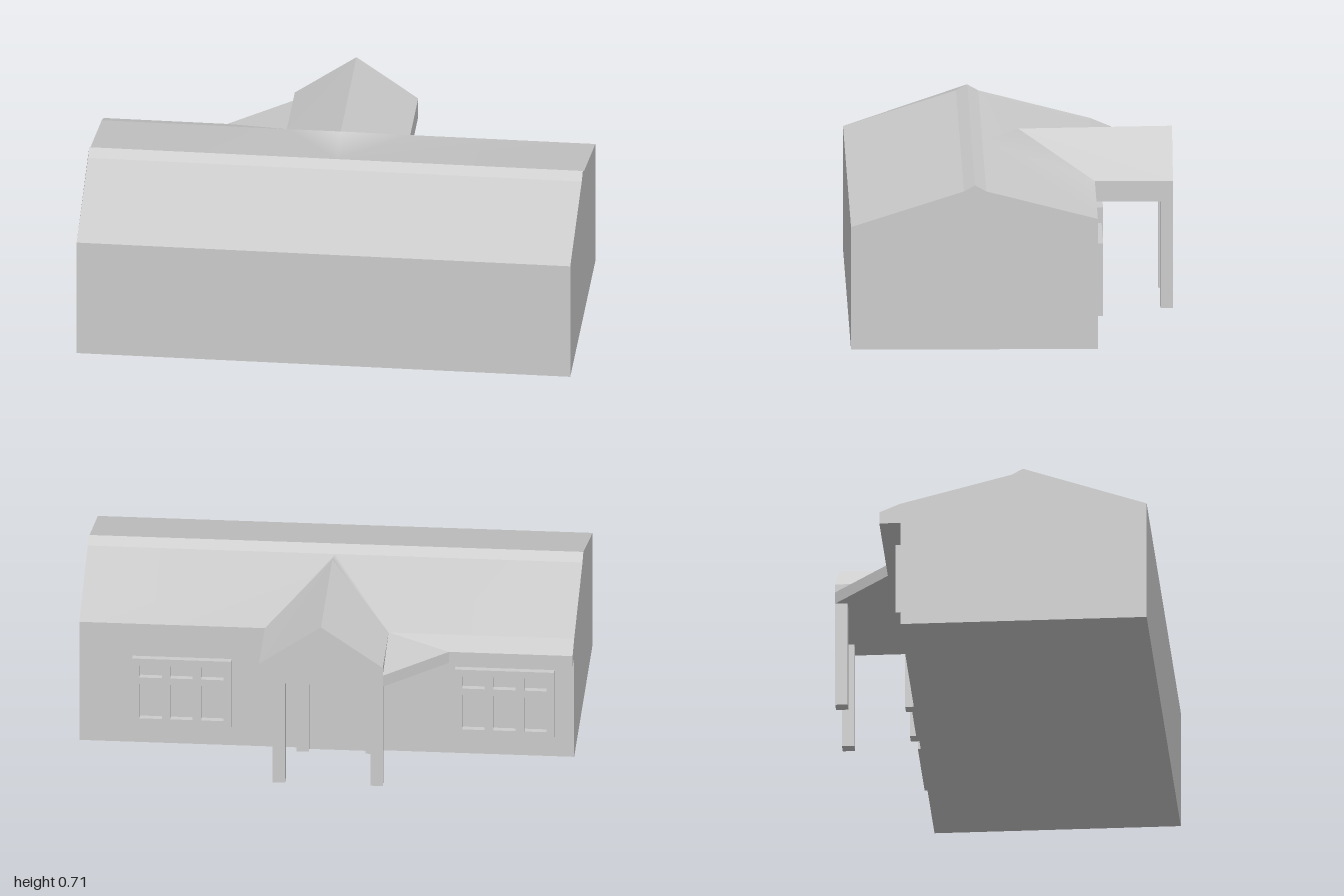
import * as THREE from 'three';
import { mergeVertices } from 'three/addons/utils/BufferGeometryUtils.js';

const grey = new THREE.MeshStandardMaterial({ color: 0xcccccc, side: THREE.DoubleSide });

// Flat polygons, each fanned from its first corner
function polygons(name, polys, smooth = false) {
  const pos = [];
  for (const p of polys)
    for (let i = 1; i < p.length - 1; i++) pos.push(...p[0], ...p[i], ...p[i + 1]);
  let geo = new THREE.BufferGeometry();
  geo.setAttribute('position', new THREE.Float32BufferAttribute(pos, 3));
  if (smooth) geo = mergeVertices(geo);
  geo.computeVertexNormals();
  return named(name, geo);
}

function named(name, geo) {
  const mesh = new THREE.Mesh(geo, grey);
  mesh.name = name;
  return mesh;
}

// Box given by its two extreme corners
function box(name, x0, x1, y0, y1, z0, z1) {
  const mesh = named(name, new THREE.BoxGeometry(x1 - x0, y1 - y0, z1 - z0));
  mesh.position.set((x0 + x1) / 2, (y0 + y1) / 2, (z0 + z1) / 2);
  return mesh;
}

const mirror = (poly) => poly.map(([x, y, z]) => [-x, y, z]).reverse();
const bothSides = (polys) => [...polys, ...polys.map(mirror)];
const at = ([x, , z], y) => [x, y, z];

const WALL = -0.34, EAVE = 0.535, SOFFIT = 0.45, PORCH = -0.655;

function createWindow(x0) {
  const w = 0.4, h = 0.3;
  const rect = (s, x, y, rw, rh) =>
    s.moveTo(x, y).lineTo(x + rw, y).lineTo(x + rw, y + rh).lineTo(x, y + rh).closePath();
  const frame = rect(new THREE.Shape(), 0, 0, w, h);
  // Three columns, each a tall pane below a small one
  for (let i = 0; i < 3; i++) {
    const x = 0.03 + i * 0.125;
    frame.holes.push(rect(new THREE.Path(), x, 0.03, 0.09, 0.155));
    frame.holes.push(rect(new THREE.Path(), x, 0.215, 0.09, 0.055));
  }
  const mesh = named('windowFrame', new THREE.ExtrudeGeometry(frame, { depth: 0.025, bevelEnabled: false }));
  mesh.position.set(x0, 0.09, -0.365);
  return mesh;
}

export function createModel() {
  const house = new THREE.Group();
  house.name = 'house';

  // Walls, front roof slope and ridge cap from one cross-section (z, y)
  const profile = [[0.655, 0], [WALL, 0], [WALL, EAVE], [0.11, 0.65], [0.155, 0.675], [0.2, 0.65], [0.655, 0.505]];
  const end = profile.map(([z, y]) => [1, y, z]);
  const body = [end, mirror(end)];
  end.forEach((a, i) => {
    if (i === 2) return; // back slope is built separately
    const b = end[(i + 1) % end.length];
    body.push([a, [-1, a[1], a[2]], [-1, b[1], b[2]], b]);
  });
  house.add(polygons('houseBody', body));

  // Back roof slope, rising to meet the porch ridge
  const peak = [0, 0.7, -0.035], mid = [0, 0.65, 0.11], valley = [0.25, EAVE, WALL];
  house.add(polygons('backRoof', bothSides([
    [peak, mid, valley],
    [mid, [1, 0.65, 0.11], [1, EAVE, WALL], valley],
  ]), true));

  // Porch gable roof
  const ridge = [0, 0.71, PORCH], eave = [0.25, EAVE, PORCH];
  const valleyLow = at(valley, SOFFIT), eaveLow = at(eave, SOFFIT);
  const flip = ([x, y, z]) => [-x, y, z];
  house.add(polygons('porchRoof', [
    ...bothSides([[peak, valley, eave, ridge], [valley, valleyLow, eaveLow, eave]]),
    [eave, eaveLow, flip(eaveLow), flip(eave), ridge],
    [valleyLow, flip(valleyLow), flip(eaveLow), eaveLow],
  ]));

  // Side canopy running from the porch along the wall
  const inner = [[-1, EAVE, WALL], [-0.25, EAVE, WALL], [-0.25, EAVE, PORCH]];
  const outer = [[-1, 0.5, -0.425], [-0.5, 0.5, -0.425], [-0.25, 0.5, PORCH]];
  const low = outer.map((p) => at(p, SOFFIT));
  const canopy = [
    [at(inner[1], SOFFIT), at(inner[0], SOFFIT), ...low],
    [inner[0], outer[0], low[0], at(inner[0], SOFFIT)],
  ];
  for (let i = 0; i < 2; i++) {
    canopy.push([inner[i], inner[i + 1], outer[i + 1], outer[i]]);
    canopy.push([outer[i + 1], low[i + 1], low[i], outer[i]]);
  }
  house.add(polygons('sideCanopy', canopy));

  // Porch posts
  for (const x of [-0.25, 0.145]) house.add(box('porchPost', x, x + 0.05, 0, SOFFIT, PORCH, -0.605));

  // Door with its surround
  const door = new THREE.Group();
  door.name = 'door';
  door.add(
    box('doorJamb', -0.21, -0.16, 0, 0.4, -0.375, WALL),
    box('doorJamb', 0.07, 0.12, 0, 0.4, -0.375, WALL),
    box('doorLintel', -0.16, 0.07, 0.36, 0.4, -0.375, WALL),
    box('doorPanel', -0.16, 0.07, 0, 0.36, -0.35, WALL),
  );
  house.add(door);

  // Windows
  for (const x of [-0.92, 0.385]) house.add(createWindow(x));

  return house;
}
